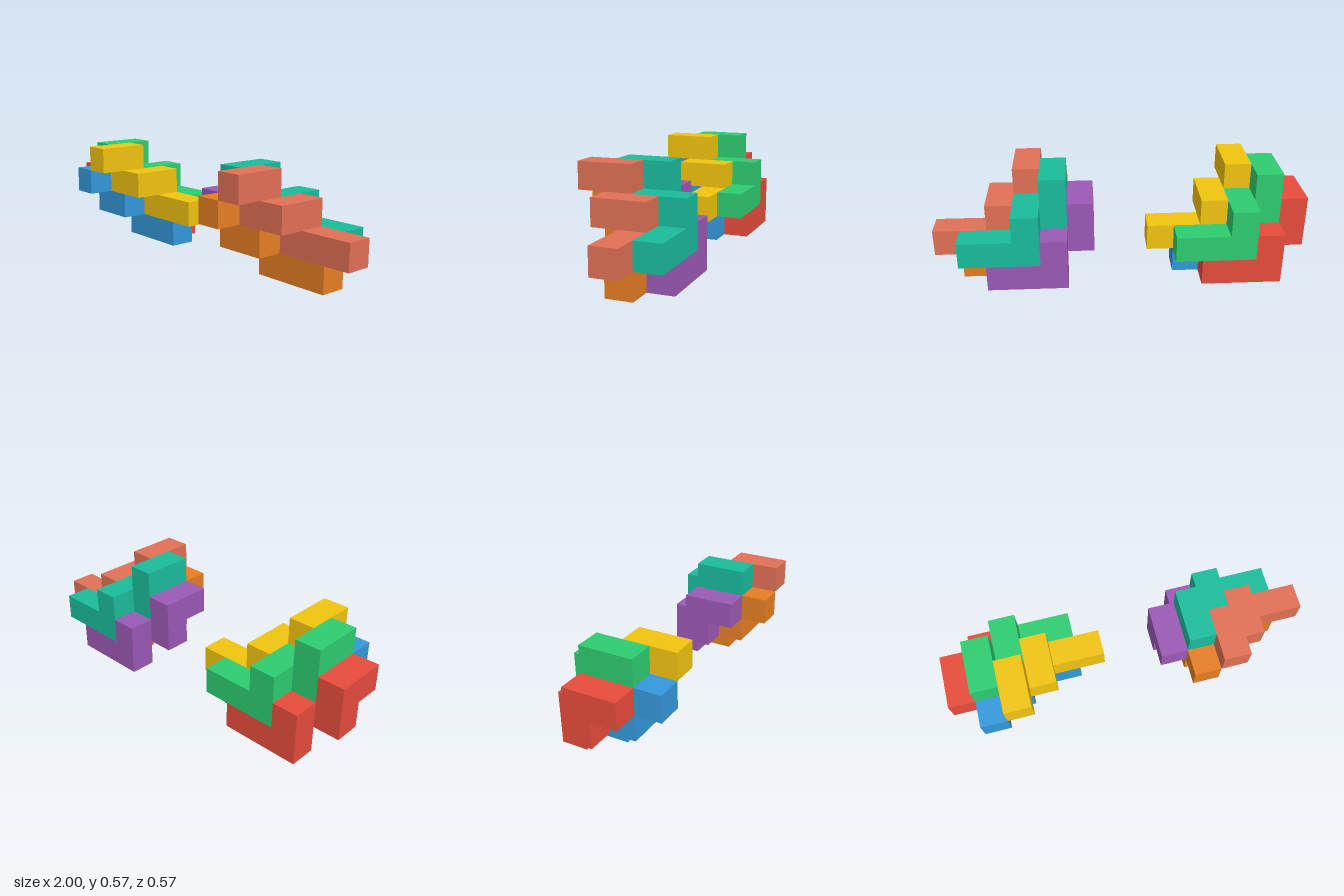
import * as THREE from 'three';
import { mergeGeometries } from 'three/addons/utils/BufferGeometryUtils.js';

const U = 1 / 7; // edge of one unit cube

// Cells of one stepped puzzle piece (x, y, z in unit cubes)
const CELLS = [
  [2, 3, 1], [2, 3, 0], [2, 2, 0], [3, 2, 0],
  [3, 2, -1], [3, 1, -1], [4, 1, -1], [5, 1, -1],
];

// Outward face directions with the turn that points a plane that way
const FACES = [
  [[0, 0, 1], [0, 0]], [[0, 0, -1], [0, Math.PI]],
  [[1, 0, 0], [0, Math.PI / 2]], [[-1, 0, 0], [0, -Math.PI / 2]],
  [[0, 1, 0], [-Math.PI / 2, 0]], [[0, -1, 0], [Math.PI / 2, 0]],
];

// Joined cubes as one clean skin: only faces without a neighbour are kept
function pieceGeometry() {
  const filled = new Set(CELLS.map(String));
  const quads = [];
  for (const cell of CELLS) {
    for (const [dir, [rx, ry]] of FACES) {
      if (filled.has(String(cell.map((c, k) => c + dir[k])))) continue;
      const centre = cell.map((c, k) => (c + 0.5 + dir[k] / 2) * U);
      quads.push(new THREE.PlaneGeometry(U, U).rotateX(rx).rotateY(ry).translate(...centre));
    }
  }
  return mergeGeometries(quads);
}

// Where each of the four nested pieces sits within its cluster
const SLOTS = [
  ['upperFrontPiece', [0, 0, 0]],
  ['upperBackPiece', [-1, 0, -1]],
  ['lowerFrontPiece', [-1, -1, 0]],
  ['lowerBackPiece', [-2, -1, -1]],
];

// Two clusters: x offset in cubes and colours in slot order
const CLUSTERS = [
  ['rightCluster', -7, [0xf1c40f, 0x2ecc71, 0x3498db, 0xe74c3c]],
  ['leftCluster', 1, [0xe17055, 0x1abc9c, 0xe67e22, 0x9b59b6]],
];

export function createModel() {
  const model = new THREE.Group();
  model.name = 'steppedPuzzle';
  const geometry = pieceGeometry();
  for (const [clusterName, offset, colors] of CLUSTERS) {
    const cluster = new THREE.Group();
    cluster.name = clusterName;
    cluster.position.x = offset * U;
    SLOTS.forEach(([name, shift], i) => {
      const piece = new THREE.Mesh(geometry, new THREE.MeshStandardMaterial({ color: colors[i] }));
      piece.name = name;
      piece.position.set(...shift).multiplyScalar(U);
      cluster.add(piece);
    });
    model.add(cluster);
  }
  return model;
}
